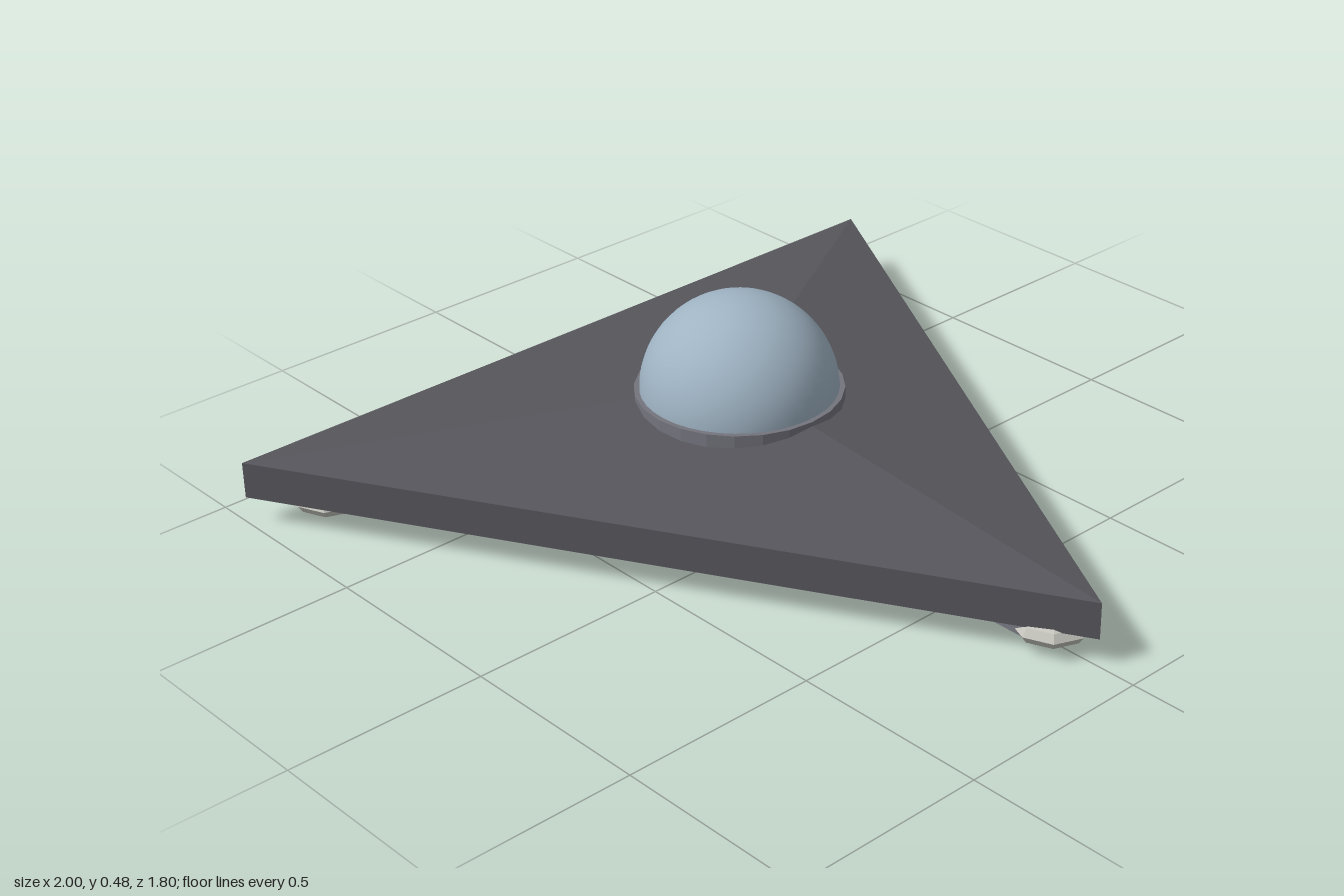
import * as THREE from 'three';

const flat = (color) => new THREE.MeshStandardMaterial({ color, flatShading: true });

function addPart(parent, name, geometry, material, x, y, z) {
  const mesh = new THREE.Mesh(geometry, material);
  mesh.name = name;
  mesh.position.set(x, y, z);
  parent.add(mesh);
  return mesh;
}

// Triangular slab with a low three-sided pyramid roof
function hullGeometry(corners, bottom, eave, apex) {
  const positions = [];
  const tri = (...points) => points.forEach((p) => positions.push(...p));
  const at = ([x, z], y) => [x, y, z];
  corners.forEach((a, i) => {
    const b = corners[(i + 1) % 3];
    tri(at(a, bottom), at(b, bottom), at(b, eave));
    tri(at(a, bottom), at(b, eave), at(a, eave));
    tri(at(a, eave), at(b, eave), apex);
  });
  tri(...corners.map((c) => at(c, bottom)).reverse());
  const geometry = new THREE.BufferGeometry();
  geometry.setAttribute('position', new THREE.Float32BufferAttribute(positions, 3));
  geometry.computeVertexNormals();
  return geometry;
}

export function createModel() {
  const model = new THREE.Group();
  model.name = 'triangularCraft';
  const trim = flat(0x74747e);
  const footMaterial = flat(0xc4c4bc);
  const centreZ = -0.26;

  // Hull, corners counter-clockwise seen from above
  const corners = [[0, 0.9], [1, -0.9], [-1, -0.9]];
  addPart(model, 'hull', hullGeometry(corners, 0.07, 0.163, [0, 0.26, centreZ]),
    flat(0x55555b), 0, 0, 0);

  // Canopy dome in its collar
  addPart(model, 'domeCollar', new THREE.CylinderGeometry(0.255, 0.255, 0.04, 24),
    trim, 0, 0.23, centreZ);
  addPart(model, 'dome',
    new THREE.SphereGeometry(0.242, 40, 20, 0, Math.PI * 2, 0, Math.PI / 2),
    new THREE.MeshStandardMaterial({ color: 0x9fb3c3, side: THREE.DoubleSide }),
    0, 0.243, centreZ);

  // Underside: long keel strip and round hatch
  addPart(model, 'keelStrip', new THREE.BoxGeometry(0.16, 0.04, 1.5), trim, 0, 0.06, 0);
  addPart(model, 'bellyHatch', new THREE.CylinderGeometry(0.175, 0.175, 0.045, 10),
    flat(0xe8705f), 0, 0.0225, -0.32);

  // Flattened pads under the three corners
  const padGeometry = new THREE.SphereGeometry(0.095, 8, 6).scale(1, 0.4, 1);
  const pads = { frontPad: [0, 0.76], leftPad: [0.825, -0.805], rightPad: [-0.825, -0.805] };
  for (const [name, [x, z]] of Object.entries(pads)) {
    addPart(model, name, padGeometry, footMaterial, x, 0.052, z);
  }
  return model;
}
